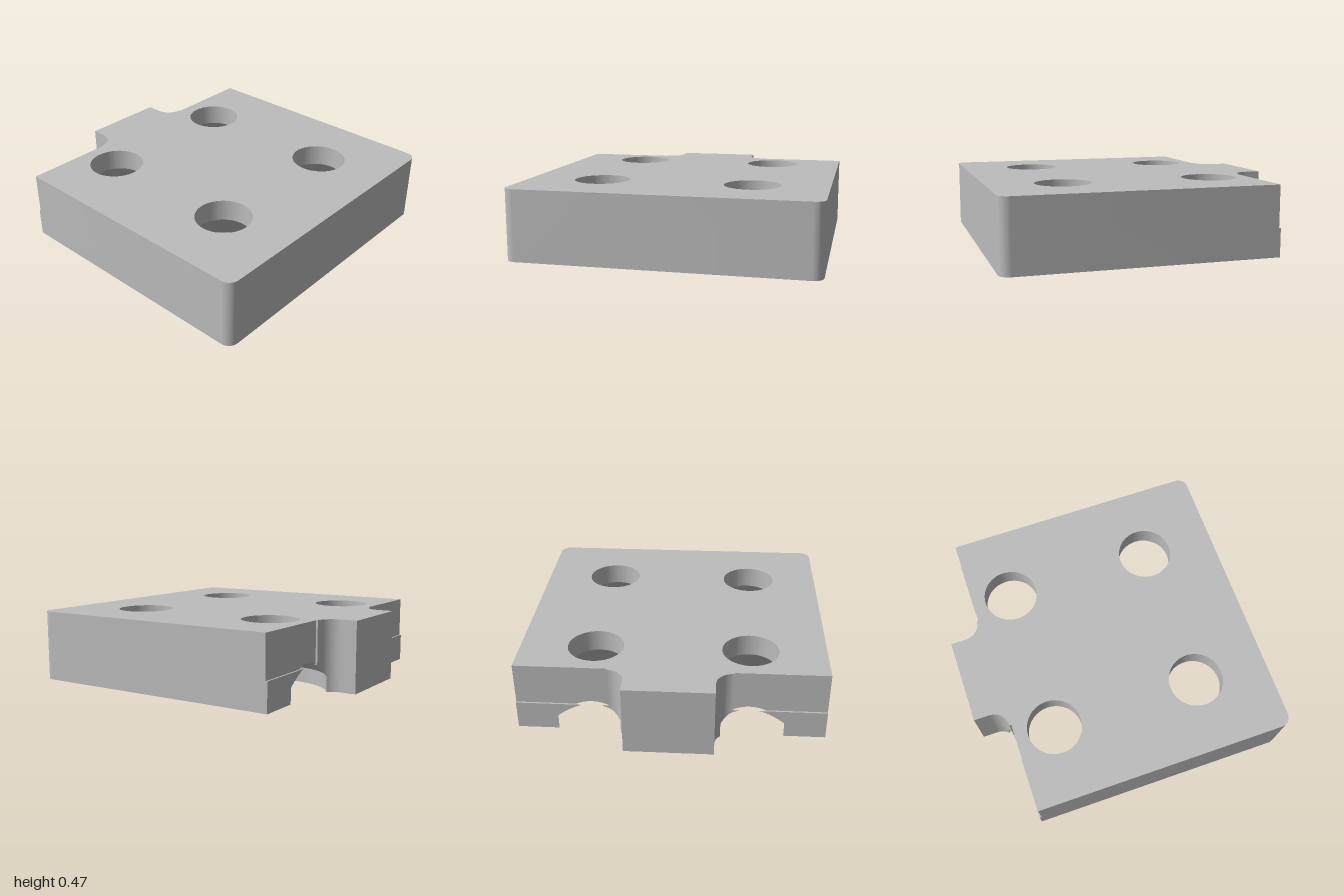
import * as THREE from 'three';
import { toCreasedNormals } from 'three/addons/utils/BufferGeometryUtils.js';

// Main sizes
const H = 0.467, LEDGE = 0.19;                 // block height, height of the back ledge
const BACK_LOW = -0.786, BACK_UP = -0.774;     // back wall below and above the ledge
const TAB = 0.287, FILLET = 0.11;              // tab half width, fillet radius
const FX = TAB + FILLET, FZ = BACK_LOW - FILLET;
const CX = 0.505, CZ = 0.505;                  // hole centres
const R_TOP = 0.184, R_BIG = 0.36, Y_BIG = 0.1, Y_CONE = 0.32;
const SLOPE = (Y_CONE - Y_BIG) / (R_BIG - R_TOP);
const coneY = r => Y_BIG + (R_BIG - r) * SLOPE;
const R_LEDGE = R_BIG - (LEDGE - Y_BIG) / SLOPE;
const SEG = 128;

const onHole = (cz, r, t) => [CX + r * Math.cos(t), cz + r * Math.sin(t)];
const dist = ([x, z]) => Math.hypot(x - CX, z + CZ);

// Is a plan point within the block, for a given back wall?
const inside = ([x, z], wall) => z > wall || x < TAB
  || (x < FX && z > FZ && Math.hypot(x - FX, z - FZ) > FILLET);

// Largest radius along a ray from the rear hole's centre that is still within the block
function reach(t, lo, hi, wall) {
  if (inside(onHole(-CZ, hi, t), wall)) return hi;
  for (let i = 0; i < 24; i++) {
    const mid = (lo + hi) / 2;
    if (inside(onHole(-CZ, mid, t), wall)) lo = mid; else hi = mid;
  }
  return lo;
}

const line = (a, b, n) => Array.from({ length: n + 1 }, (_, i) =>
  [a[0] + (b[0] - a[0]) * i / n, a[1] + (b[1] - a[1]) * i / n]);
const arc = (cx, cz, r, a, b, n) => Array.from({ length: n + 1 }, (_, i) => {
  const t = a + (b - a) * i / n;
  return [cx + r * Math.cos(t), cz + r * Math.sin(t)];
});

function quad(out, a, b, c, d) {
  out.push(...a, ...b, ...c, ...a, ...c, ...d);
}

// Vertical wall along a path, its lower edge cut away by the rear countersink
function wall(out, path, y0, y1) {
  for (let i = 0; i + 1 < path.length; i++) {
    const p = path[i], q = path[i + 1];
    const cut = dist([(p[0] + q[0]) / 2, (p[1] + q[1]) / 2]) < R_BIG;
    const low = v => Math.min(y1, Math.max(y0, cut ? coneY(Math.min(dist(v), R_BIG)) : 0));
    quad(out, [p[0], low(p), p[1]], [p[0], y1, p[1]], [q[0], y1, q[1]], [q[0], low(q), q[1]]);
  }
}

// Flat cap from a plan outline with holes
function cap(out, path, holes, y, up) {
  const s = up ? -1 : 1;
  const vec = pts => pts.map(([x, z]) => new THREE.Vector2(x, s * z));
  const shape = new THREE.Shape(vec(path));
  holes.forEach(h => shape.holes.push(new THREE.Path(vec(h))));
  const geo = new THREE.ShapeGeometry(shape).rotateX(s * Math.PI / 2).translate(0, y, 0);
  for (const v of geo.toNonIndexed().attributes.position.array) out.push(v);
}

// Inner faces of one countersunk hole; the rear one is open at the back
function holeFaces(out, cz) {
  const rear = cz < 0;
  const at = (t, r, y) => { const p = onHole(cz, r, t); return [p[0], y, p[1]]; };
  const band = (a, b, r0, y0, r1, y1) => quad(out,
    at(b, r0(b), y0(b)), at(b, r1(b), y1(b)), at(a, r1(a), y1(a)), at(a, r0(a), y0(a)));
  const k = v => () => v;
  for (let i = 0; i < SEG; i++) {
    const a = i / SEG * Math.PI * 2, b = (i + 1) / SEG * Math.PI * 2;
    band(a, b, k(R_TOP), k(Y_CONE), k(R_TOP), k(H));
    const full = !rear || [a, b].every(t => inside(onHole(cz, R_BIG, t), BACK_LOW));
    if (full) band(a, b, k(R_BIG), k(0), k(R_BIG), k(Y_BIG));
    for (const [r0, r1, w] of [[R_TOP, R_LEDGE, BACK_UP], [R_LEDGE, R_BIG, BACK_LOW]]) {
      const far = t => rear ? reach(t, r0, r1, w) : r1;
      if (far(a) - r0 < 1e-5 && far(b) - r0 < 1e-5) continue;
      band(a, b, far, t => coneY(far(t)), k(r0), k(coneY(r0)));
    }
  }
}

// Mesh from half the triangles, mirrored across x = 0
function mirroredMesh(name, half, material) {
  const all = half.slice();
  for (let i = 0; i < half.length; i += 9)
    for (const j of [0, 6, 3]) all.push(-half[i + j], half[i + j + 1], half[i + j + 2]);
  const geo = new THREE.BufferGeometry();
  geo.setAttribute('position', new THREE.Float32BufferAttribute(all, 3));
  const mesh = new THREE.Mesh(toCreasedNormals(geo, Math.PI / 6), material);
  mesh.name = name;
  return mesh;
}

export function createModel() {
  const group = new THREE.Group();
  group.name = 'mountingBlock';
  const grey = new THREE.MeshStandardMaterial({ color: 0xbcbcbc });
  grey.name = 'grey';

  // Plan paths of the +x half, running from the back tab round to the front
  const tab = [[0, -1], [TAB, -1], [TAB, FZ]];
  const fillet = arc(FX, FZ, FILLET, Math.PI, Math.PI / 2, 48);
  const xCut = CX + Math.sqrt(R_BIG ** 2 - (BACK_LOW + CZ) ** 2);
  const backLow = [...line([FX, BACK_LOW], [xCut, BACK_LOW], 48), [1, BACK_LOW]];
  const backUp = [...line([FX, BACK_UP], [xCut, BACK_UP], 48), [1, BACK_UP]];
  const front = [...arc(0.93, 0.93, 0.07, 0, Math.PI / 2, 16), [0, 1]];

  // Outer walls
  const walls = [];
  wall(walls, [...tab, ...fillet.slice(1)], 0, H);
  wall(walls, backLow, 0, LEDGE);
  wall(walls, [[FX, BACK_LOW], [FX, BACK_UP]], LEDGE, H);
  wall(walls, backUp, LEDGE, H);
  wall(walls, [[1, BACK_LOW], [1, BACK_UP]], 0, LEDGE);
  wall(walls, [[1, BACK_UP], ...front], 0, H);
  group.add(mirroredMesh('outerWalls', walls, grey));

  // Narrow ledge on the back wall, broken where the countersink passes through
  const ledge = [];
  const inner = x => {
    const d = R_LEDGE ** 2 - (x - CX) ** 2;
    return d > 0 ? Math.max(BACK_LOW, Math.min(BACK_UP, -CZ - Math.sqrt(d))) : BACK_UP;
  };
  const edge = x => {
    const d = R_LEDGE ** 2 - (x - CX) ** 2;
    return d > 0 && -CZ - Math.sqrt(d) < BACK_UP ? inner(x) : BACK_UP;
  };
  for (let i = 0; i + 1 < backLow.length; i++) {
    const a = backLow[i][0], b = backLow[i + 1][0];
    quad(ledge, [a, LEDGE, BACK_LOW], [a, LEDGE, edge(a)], [b, LEDGE, edge(b)], [b, LEDGE, BACK_LOW]);
  }
  group.add(mirroredMesh('backLedge', ledge, grey));

  // Top face with round holes
  const circle = (cz, r) => arc(CX, cz, r, 0, Math.PI * 2, SEG).slice(0, -1);
  const top = [];
  cap(top, [...tab, ...fillet.slice(1), ...backUp, ...front], [circle(CZ, R_TOP), circle(-CZ, R_TOP)], H, true);
  group.add(mirroredMesh('topFace', top, grey));

  // Bottom face, notched by the rear countersink
  const notch = arc(CX, -CZ, R_BIG, -Math.PI / 2, -Math.PI * 2.5, SEG)
    .filter(p => inside(p, BACK_LOW));
  const bottom = [];
  cap(bottom, [...tab, ...fillet.slice(1).filter(p => dist(p) > R_BIG), ...notch,
    [xCut, BACK_LOW], [1, BACK_LOW], ...front], [circle(CZ, R_BIG)], 0, false);
  group.add(mirroredMesh('bottomFace', bottom, grey));

  // Countersunk holes
  for (const [name, cz] of [['frontHoles', CZ], ['rearHoles', -CZ]]) {
    const faces = [];
    holeFaces(faces, cz);
    group.add(mirroredMesh(name, faces, grey));
  }
  return group;
}
